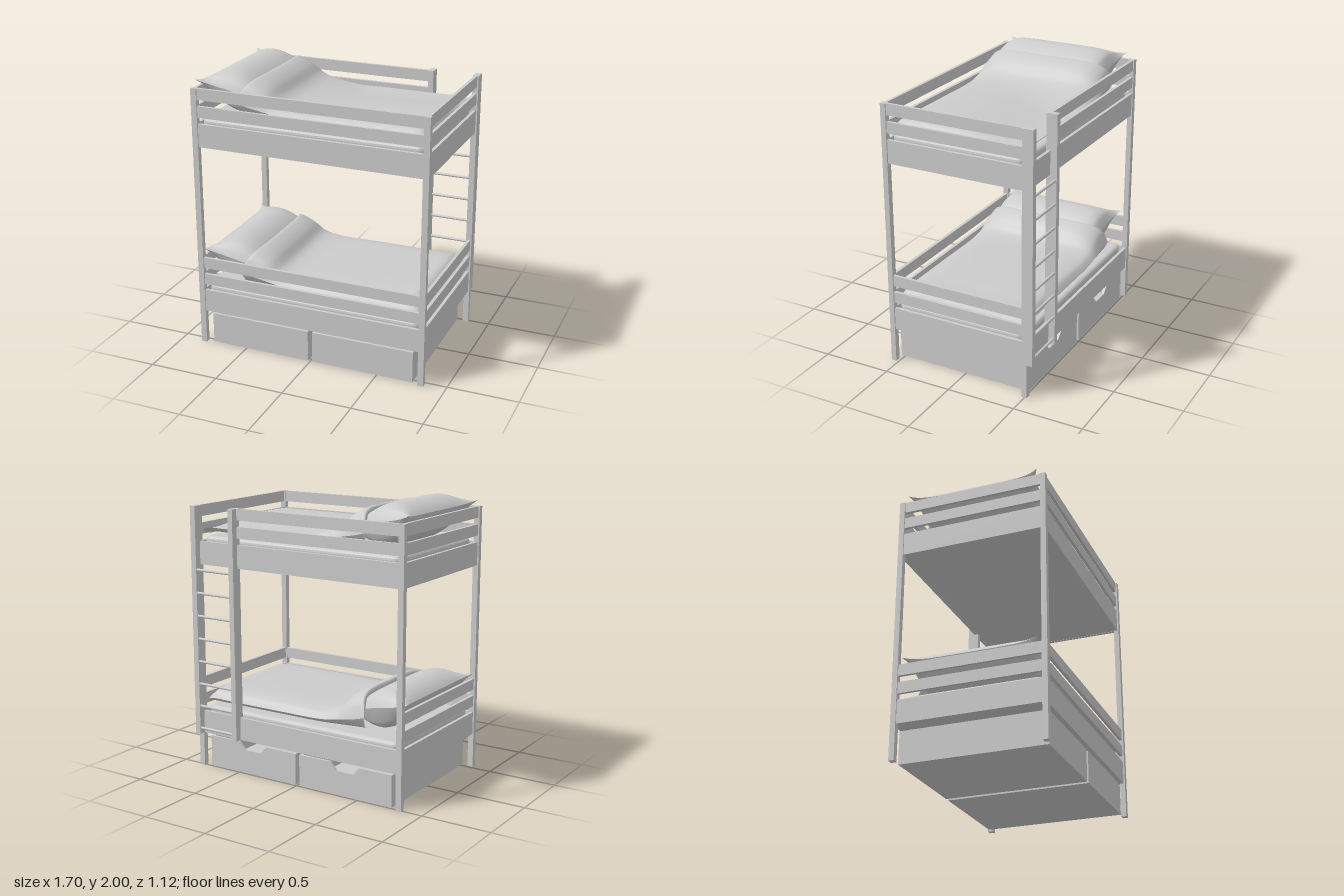
import * as THREE from 'three';

const material = new THREE.MeshStandardMaterial({ color: 0xcccccc });
const cloth = new THREE.MeshStandardMaterial({ color: 0xcccccc, side: THREE.DoubleSide });

// Box given by its extents on each axis
function box(parent, name, x0, x1, y0, y1, z0, z1) {
  const mesh = new THREE.Mesh(new THREE.BoxGeometry(x1 - x0, y1 - y0, z1 - z0), material);
  mesh.position.set((x0 + x1) / 2, (y0 + y1) / 2, (z0 + z1) / 2);
  mesh.name = name;
  parent.add(mesh);
}

// Smooth sheet from a rule f(u, v) -> [x, y, z], u and v in 0..1
function sheet(parent, name, nu, nv, f, flip = false) {
  const pos = [], idx = [];
  for (let i = 0; i <= nu; i++) for (let j = 0; j <= nv; j++) pos.push(...f(i / nu, j / nv));
  for (let i = 0; i < nu; i++) for (let j = 0; j < nv; j++) {
    const a = i * (nv + 1) + j, b = a + nv + 1;
    if (flip) idx.push(a, b, a + 1, a + 1, b, b + 1);
    else idx.push(a, a + 1, b, a + 1, b + 1, b);
  }
  const geo = new THREE.BufferGeometry();
  geo.setAttribute('position', new THREE.Float32BufferAttribute(pos, 3));
  geo.setIndex(idx);
  geo.computeVertexNormals();
  const mesh = new THREE.Mesh(geo, cloth);
  mesh.name = name;
  parent.add(mesh);
}

// Mattress with rounded corners and edges
function addMattress(parent) {
  const w = 0.775, d = 0.465, r = 0.04, s = new THREE.Shape();
  s.moveTo(-w + r, -d);
  s.lineTo(w - r, -d).quadraticCurveTo(w, -d, w, -d + r);
  s.lineTo(w, d - r).quadraticCurveTo(w, d, w - r, d);
  s.lineTo(-w + r, d).quadraticCurveTo(-w, d, -w, d - r);
  s.lineTo(-w, -d + r).quadraticCurveTo(-w, -d, -w + r, -d);
  const geo = new THREE.ExtrudeGeometry(s, { depth: 0.06, bevelSize: 0.03, bevelThickness: 0.03, bevelSegments: 4 });
  geo.rotateX(-Math.PI / 2);
  const mesh = new THREE.Mesh(geo, material);
  mesh.position.set(0, 0.36, 0.02);
  mesh.name = 'mattress';
  parent.add(mesh);
}

// Pillow: two bulged sheets meeting at a seam, with pointed corners at the head
function addPillow(parent) {
  for (const side of [1, -1]) {
    sheet(parent, side > 0 ? 'pillowTop' : 'pillowUnderside', 24, 32, (u, v) => {
      const a = u * 2 - 1, b = v * 2 - 1;
      const puff = (1 - a * a) ** 0.9 * Math.sqrt(1 - b ** 6);
      const corner = a < 0 ? a ** 4 : -0.6 * a * a;
      const x = -0.6 + 0.245 * a * (0.84 + 0.16 * b ** 6);
      const z = 0.02 + 0.475 * b * (0.91 + 0.09 * corner);
      const seam = 0.645 - 0.045 * a + 0.02 * b ** 6 * corner;
      return [x, seam + puff * (side > 0 ? 0.115 : -0.18), z];
    }, side < 0);
  }
}

// Duvet: sections along the bed, folded up over the pillow at the head.
// lift raises the flat part, slump lets it sink towards the back
function addDuvet(parent, lift, slump) {
  const flat = 0.55 + lift;
  // x, crown height, side height
  const profile = new THREE.CatmullRomCurve3([
    [-0.465, 0.64, 0.56], [-0.465, 0.705, 0.575], [-0.45, 0.725, 0.575], [-0.4, 0.71, 0.56], [-0.34, 0.67, 0.545],
    [-0.28, 0.605, 0.53], [-0.2, 0.565 + lift / 2, 0.515], [0.2, flat, 0.51], [0.6, flat, 0.51],
    [0.74, flat - 0.005, 0.51], [0.785, 0.53, 0.5], [0.8, 0.5, 0.49],
  ].map(p => new THREE.Vector3(...p)), false, 'centripetal');
  const point = (u, v, top) => {
    const p = profile.getPoint(u), b = v * 2 - 1;
    const crown = Math.sqrt(Math.max(0, 1 - b ** 6));
    const fold = THREE.MathUtils.smoothstep(-p.x, 0.2, 0.45);
    const x = p.x - 0.07 * fold * b ** 4;
    const sink = slump * THREE.MathUtils.smoothstep(0.45 - 0.35 * x - b, 0, 1.2) * THREE.MathUtils.smoothstep(x, -0.25, 0.1);
    const height = top ? p.y - sink : 0.465;
    return [x, p.z + (height - p.z) * crown, 0.01 + b * 0.485];
  };
  sheet(parent, 'duvetTop', 66, 40, (u, v) => point(u, v, true));
  sheet(parent, 'duvetUnderside', 66, 40, (u, v) => point(u, v, false), true);
}

// One bunk: base, boards, rails and bedding, at lower bunk height
function bunk(name, upper) {
  const g = new THREE.Group();
  g.name = name;
  box(g, 'bedBase', -0.82, 0.82, 0.252, 0.36, -0.49, 0.53);
  const levels = [[0.25, 0.415, 'board'], [0.46, 0.54, 'lowerRail'], [0.585, 0.665, 'upperRail']];
  levels.forEach(([y0, y1, part], i) => {
    box(g, 'front-' + part, -0.81, 0.81, y0, y1, 0.525, 0.547);
    box(g, 'right-' + part, -0.842, -0.82, y0, y1, -0.48, 0.52);
    box(g, 'left-' + part, 0.815, 0.837, y0, y1, -0.48, 0.52);
    // The back rails stop at the ladder; the lower bunk has none
    if (i === 0) box(g, 'back-' + part, -0.81, 0.81, y0, y1, -0.51, -0.488);
    else if (upper) box(g, 'back-' + part, -0.81, 0.48, y0, y1, -0.51, -0.488);
  });
  addMattress(g);
  addPillow(g);
  addDuvet(g, upper ? 0.01 : 0.035, upper ? 0.05 : 0);
  return g;
}

// Open drawer with a handle notch in its back panel
function drawer(x0, x1) {
  const g = new THREE.Group();
  g.name = 'drawer';
  const h = 0.228, t = 0.02, z0 = -0.49, z1 = 0.53, c = (x0 + x1) / 2;
  box(g, 'drawerBottom', x0, x1, 0, t, z0, z1);
  box(g, 'drawerFront', x0, x1, 0, h, z1 - t, z1);
  box(g, 'drawerSide', x0, x0 + t, 0, h, z0, z1);
  box(g, 'drawerSide', x1 - t, x1, 0, h, z0, z1);
  const s = new THREE.Shape([
    [x0, 0], [x1, 0], [x1, h], [c + 0.12, h], [c + 0.07, h - 0.055],
    [c - 0.07, h - 0.055], [c - 0.12, h], [x0, h],
  ].map(p => new THREE.Vector2(...p)));
  const back = new THREE.Mesh(new THREE.ExtrudeGeometry(s, { depth: t, bevelEnabled: false }), material);
  back.position.z = z0;
  back.name = 'drawerBack';
  g.add(back);
  return g;
}

export function createModel() {
  const model = new THREE.Group();
  model.name = 'bunkBed';

  // Corner posts
  for (const x of [-0.851, 0.805]) for (const z of [-0.517, 0.519])
    box(model, 'cornerPost', x, x + 0.042, 0, 1.905, z, z + 0.038);

  // Bunks
  model.add(bunk('lowerBunk', false));
  const top = bunk('upperBunk', true);
  top.position.y = 1.24;
  model.add(top);

  // Ladder
  const ladder = new THREE.Group();
  ladder.name = 'ladder';
  box(ladder, 'ladderStile', 0.477, 0.516, 0.25, 1.905, -0.558, -0.48);
  box(ladder, 'ladderStile', 0.805, 0.847, 0.25, 1.905, -0.558, -0.5);
  for (let i = 0; i < 8; i++) {
    const rung = new THREE.Mesh(new THREE.CylinderGeometry(0.01, 0.01, 0.3, 12), material);
    rung.rotation.z = Math.PI / 2;
    rung.position.set(0.66, 0.293 + i * 0.166, -0.545);
    rung.name = 'rung';
    ladder.add(rung);
  }
  model.add(ladder);

  // Drawers
  model.add(drawer(-0.763, -0.018), drawer(0.015, 0.76));
  return model;
}
